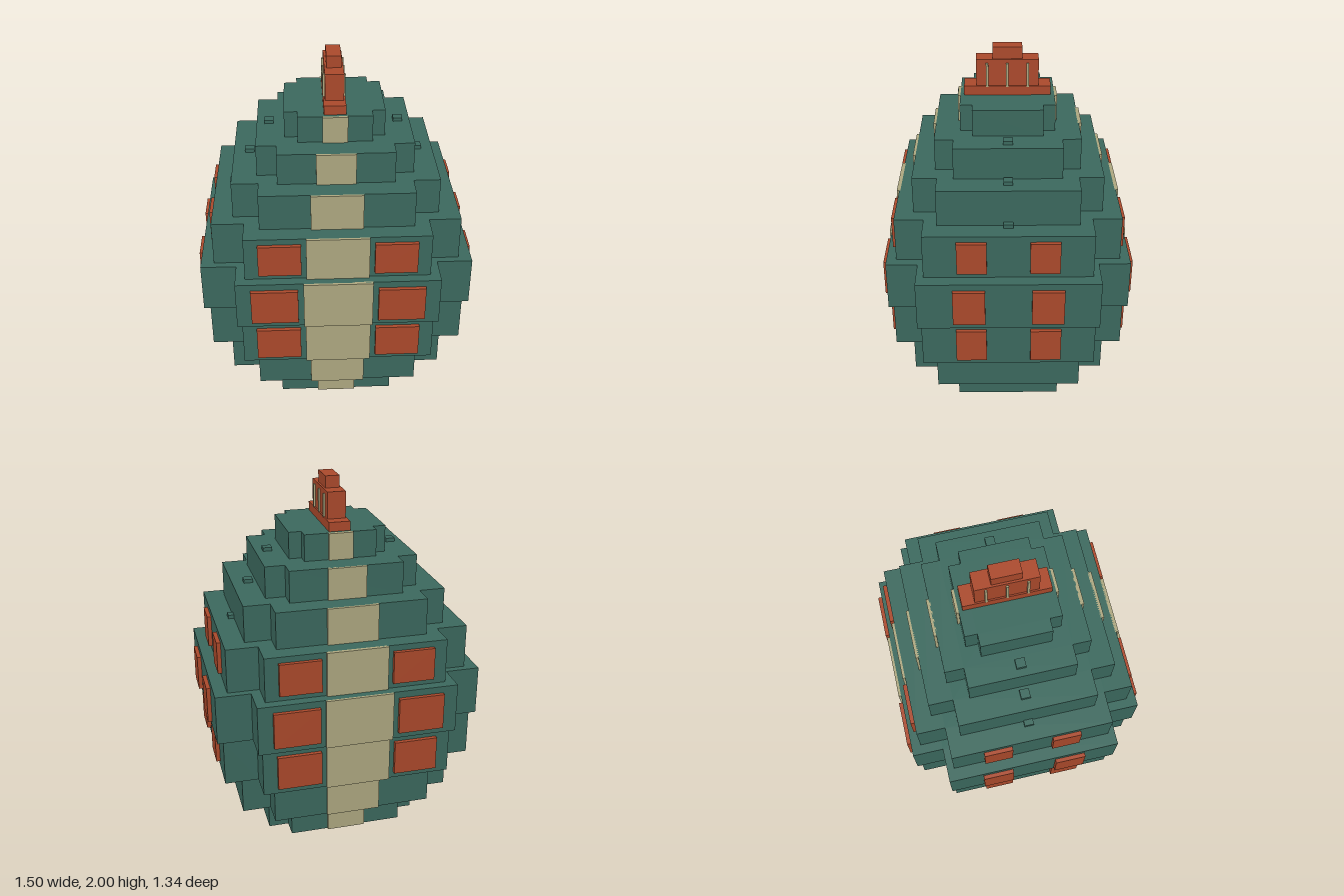
import * as THREE from 'three';

const mat = (name, color) => {
  const m = new THREE.MeshStandardMaterial({ color });
  m.name = name;
  return m;
};

// Each tier: bottom y, top y, half width (x), half depth (z)
const TIERS = [
  [0, 0.205, 0.433, 0.39],
  [0.205, 0.443, 0.597, 0.535],
  [0.443, 0.703, 0.697, 0.625],
  [0.703, 0.977, 0.73, 0.65],
  [0.977, 1.222, 0.66, 0.597],
  [1.222, 1.422, 0.548, 0.5],
  [1.422, 1.595, 0.415, 0.383],
  [1.595, 1.74, 0.265, 0.25],
];
const NOTCH = 0.74; // where the corner notches start, as a share of the half size

// Plus-shaped slab with its corners cut away
function plusSlab(w, d, h) {
  const a = w * NOTCH, b = d * NOTCH;
  const outline = [
    [w, -b], [w, b], [a, b], [a, d], [-a, d], [-a, b],
    [-w, b], [-w, -b], [-a, -b], [-a, -d], [a, -d], [a, -b],
  ].map(([x, y]) => new THREE.Vector2(x, y));
  const geo = new THREE.ExtrudeGeometry(new THREE.Shape(outline), { depth: h, bevelEnabled: false });
  return geo.rotateX(-Math.PI / 2);
}

export function createModel() {
  const model = new THREE.Group();
  model.name = 'steppedEgg';
  const green = mat('deep green', 0x3c6a5f);
  const tan = mat('tan', 0xb0aa82);
  const red = mat('rust red', 0xad4a2c);

  const box = (parent, name, material, size, pos) => {
    const mesh = new THREE.Mesh(new THREE.BoxGeometry(...size), material);
    mesh.name = name;
    mesh.position.set(...pos);
    parent.add(mesh);
  };

  TIERS.forEach(([y0, y1, w, d], i) => {
    const tier = new THREE.Group();
    tier.name = `tier${i + 1}`;
    model.add(tier);
    const h = y1 - y0, mid = (y0 + y1) / 2;

    const body = new THREE.Mesh(plusSlab(w, d, h), green);
    body.name = 'tierBody';
    body.position.y = y0;
    tier.add(body);

    for (const s of [-1, 1]) {
      // Centre stripe on front and back
      box(tier, 'stripe', tan, [w * 0.5, h, 0.02], [0, mid, s * (d + 0.004)]);

      // Small studs on the upper ledges
      if (i >= 4 && i <= 6) box(tier, 'stud', green, [0.05, 0.04, 0.05], [s * w * 0.84, y1, 0]);

      // Raised panels on the three widest tiers
      if (i >= 2 && i <= 4) {
        for (const t of [-1, 1]) {
          box(tier, 'facePanel', red, [w * 0.34, h * 0.73, 0.03], [t * w * 0.46, mid, s * (d + 0.007)]);
          box(tier, 'sidePanel', red, [0.03, h * 0.73, d * 0.26], [s * (w + 0.007), mid, t * d * 0.317]);
        }
      }
    }
  });

  // Stepped crest on top
  const crest = new THREE.Group();
  crest.name = 'crest';
  model.add(crest);
  box(crest, 'crestBase', red, [0.116, 0.05, 0.46], [0, 1.765, 0]);
  box(crest, 'crestMiddle', red, [0.1, 0.145, 0.33], [0, 1.8625, 0]);
  box(crest, 'crestTop', red, [0.078, 0.065, 0.156], [0, 1.9675, 0]);
  for (const s of [-1, 1]) {
    for (const z of [-0.107, 0, 0.107]) {
      box(crest, 'crestSlat', tan, [0.016, 0.13, 0.013], [s * 0.052, 1.85, z]);
    }
  }
  return model;
}
